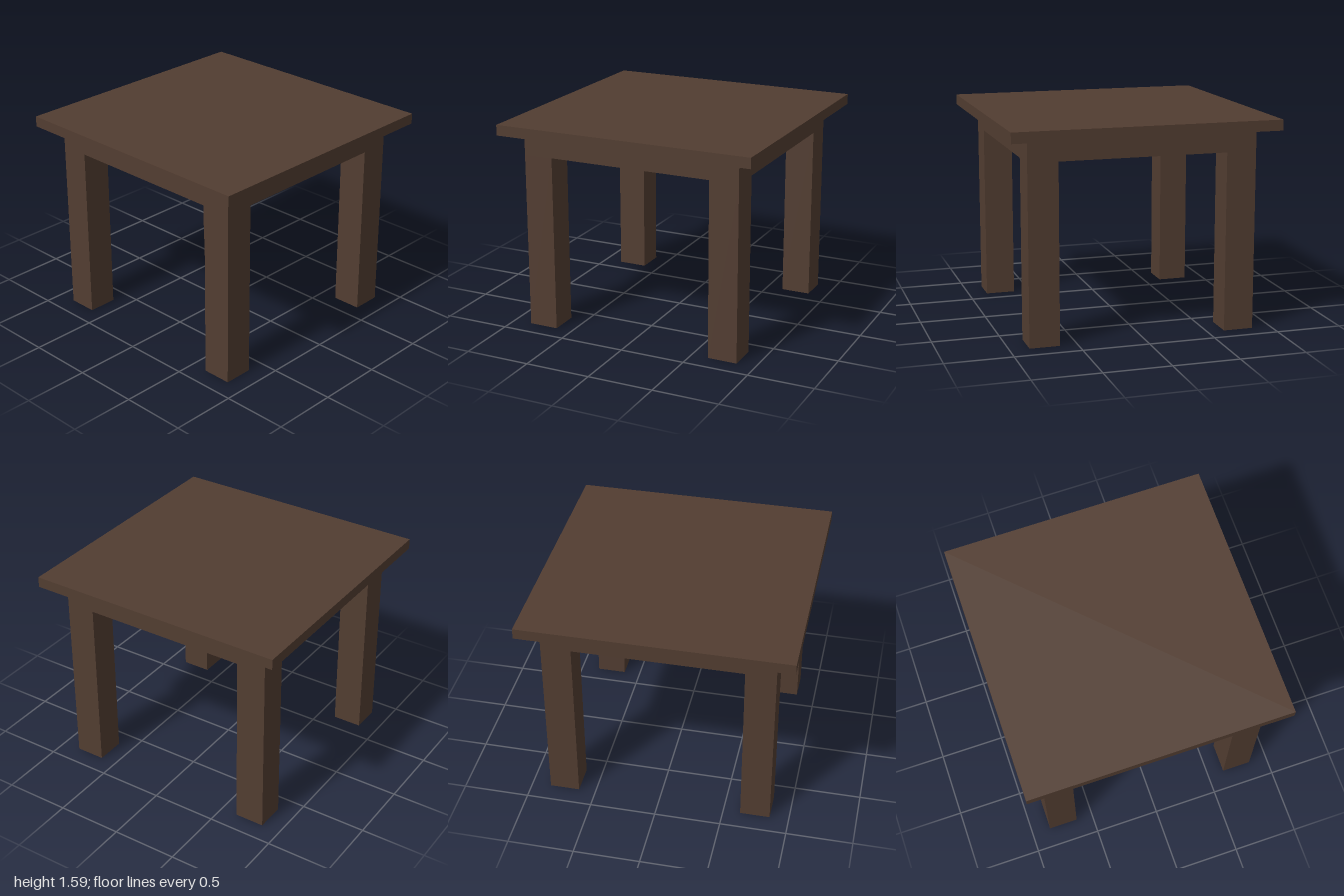
import * as THREE from 'three';

const wood = new THREE.MeshStandardMaterial({ color: 0x523d31 });

// Box resting between two heights, centred on (x, z)
function block(name, width, bottom, top, x = 0, z = 0) {
  const mesh = new THREE.Mesh(new THREE.BoxGeometry(width, top - bottom, width), wood);
  mesh.name = name;
  mesh.position.set(x, (bottom + top) / 2, z);
  return mesh;
}

export function createModel() {
  const table = new THREE.Group();
  table.name = 'table';

  const height = 1.59, topBottom = 1.51, apronBottom = 1.345;
  const frame = 1.71, leg = 0.225;

  // Overhanging top and the solid apron block beneath it
  table.add(block('tabletop', 2, topBottom, height));
  table.add(block('apron', frame, apronBottom, topBottom));

  // Four square legs, flush with the apron corners
  const offset = (frame - leg) / 2;
  for (const [sx, side] of [[1, 'Left'], [-1, 'Right']]) {
    for (const [sz, end] of [[1, 'front'], [-1, 'back']]) {
      table.add(block(`${end}${side}Leg`, leg, 0, apronBottom, sx * offset, sz * offset));
    }
  }
  return table;
}
